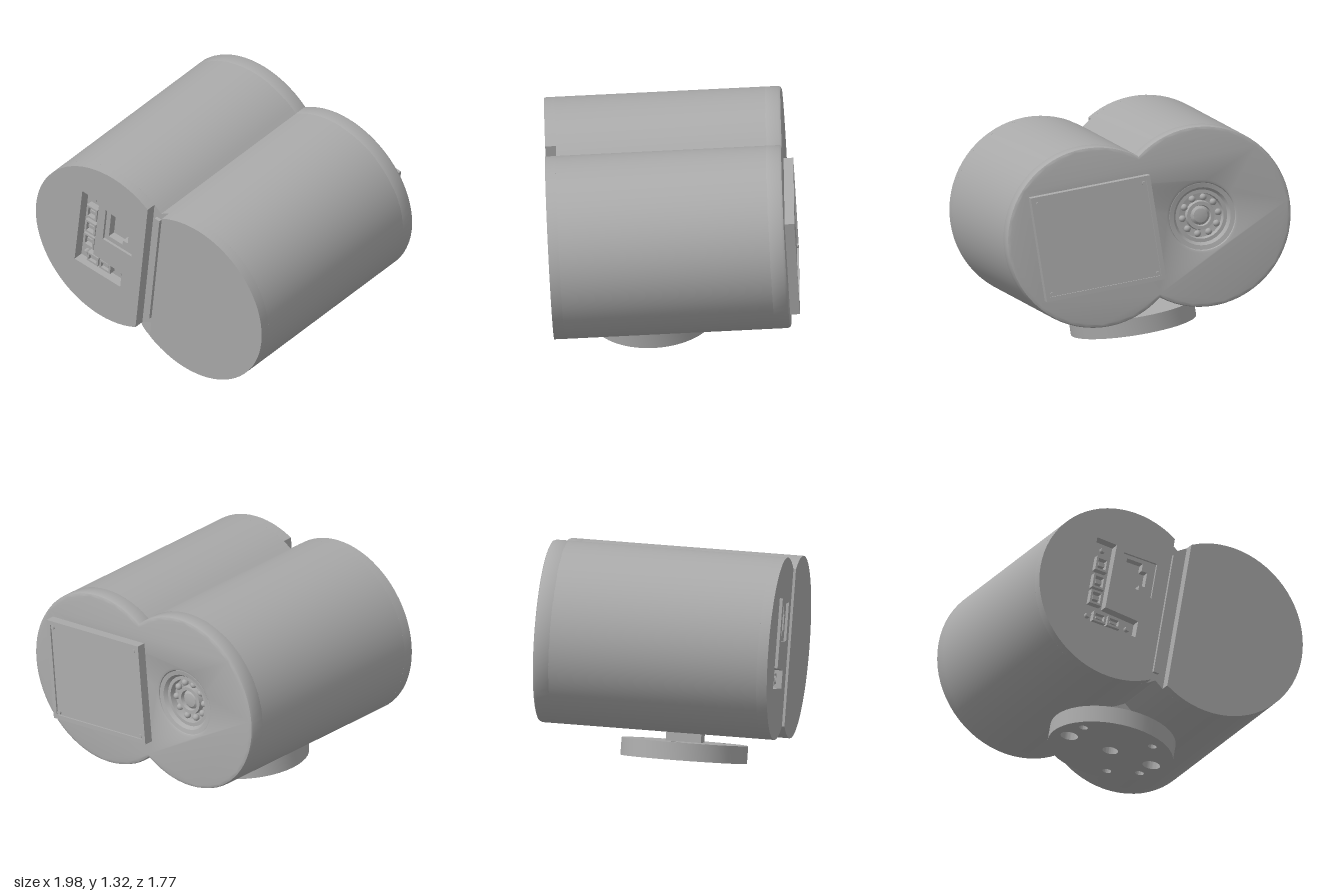
import * as THREE from 'three';
import { toCreasedNormals } from 'three/addons/utils/BufferGeometryUtils.js';

const grey = new THREE.MeshStandardMaterial({ color: 0xaaaaaa, side: THREE.DoubleSide });
grey.name = 'grey';

const R = 0.515;        // lobe radius
const C = 0.3125;       // lobe centre offset
const LEN = 1.335;      // body length
const STEP = 0.06;      // thickness of the front caps
const CHORD = 0.26;     // flat side of each front cap

function add(parent, name, geo, x = 0, y = 0, z = 0) {
  const mesh = new THREE.Mesh(geo, grey);
  mesh.name = name;
  mesh.position.set(x, y, z);
  parent.add(mesh);
  return mesh;
}

function extrude(shape, depth, bevel = 0) {
  const geo = new THREE.ExtrudeGeometry(shape, {
    depth: depth - 2 * bevel, curveSegments: 24, bevelEnabled: bevel > 0,
    bevelSize: bevel, bevelThickness: bevel, bevelOffset: -bevel, bevelSegments: 2,
  });
  geo.translate(0, 0, bevel);
  return toCreasedNormals(geo, 0.5);
}

const circleHole = (x, y, r) => new THREE.Path().absarc(x, y, r, 0, Math.PI * 2, true);

function polygon(points, Kind = THREE.Shape) {
  return new Kind(points.map(([x, y]) => new THREE.Vector2(x, y)));
}

function rect(x0, y0, x1, y1, Kind = THREE.Shape) {
  return polygon([[x0, y0], [x1, y0], [x1, y1], [x0, y1]], Kind);
}

// Outline of two merged cylinders
function twinOutline() {
  const a = Math.acos(C / R);
  const s = new THREE.Shape();
  s.absarc(C, 0, R, -Math.PI + a, Math.PI - a, false);
  s.absarc(-C, 0, R, a, Math.PI * 2 - a, false);
  s.closePath();
  return s;
}

// Disc with one side cut straight; side is -1 or 1
function capOutline(side) {
  const a = Math.acos(CHORD / R);
  const s = new THREE.Shape();
  if (side < 0) s.absarc(-C, 0, R, a, Math.PI * 2 - a, false);
  else s.absarc(C, 0, R, -Math.PI + a, Math.PI - a, false);
  s.closePath();
  return s;
}

// Small hollow socket
function socket(parent, name, x, y, w, h) {
  const s = rect(-w / 2, -h / 2, w / 2, h / 2);
  s.holes.push(rect(-w / 2 + 0.012, -h / 2 + 0.012, w / 2 - 0.012, h / 2 - 0.012, THREE.Path));
  add(parent, name, extrude(s, 0.04), x, y, -STEP);
  add(parent, name + 'Tongue', new THREE.BoxGeometry(w * 0.5, h * 0.25, 0.03), x, y, -STEP + 0.015);
}

function buildHousing(body) {
  add(body, 'housing', extrude(twinOutline(), LEN - 0.09 - STEP), 0, 0, -LEN + 0.09);

  // Back cover with the lens opening
  const back = twinOutline();
  back.holes.push(circleHole(-C, 0, 0.19));
  add(body, 'backCover', extrude(back, 0.11, 0.018), 0, 0, -LEN);

  // Front caps, separated by a shallow slot
  const portCap = capOutline(-1);
  portCap.holes.push(polygon([
    [-C - 0.205, 0.29], [-C - 0.21, -0.225], [-C + 0.125, -0.225],
    [-C + 0.125, -0.125], [-C - 0.085, -0.11], [-C - 0.08, 0.285],
  ], THREE.Path));
  portCap.holes.push(rect(-C - 0.03, 0.04, -C + 0.18, 0.257, THREE.Path));
  add(body, 'portCap', extrude(portCap, STEP), 0, 0, -STEP);
  add(body, 'plainCap', extrude(capOutline(1), STEP), 0, 0, -STEP);
  add(body, 'slotStrip', new THREE.BoxGeometry(0.035, 0.74, 0.02), -0.01, 0, -STEP + 0.01);
}

function buildPorts(body) {
  const ports = new THREE.Group();
  ports.name = 'ports';
  body.add(ports);
  for (const y of [0.15, 0.04, -0.06]) socket(ports, 'sidePort', -C - 0.14, y, 0.075, 0.085);
  for (const x of [-0.1, -0.01]) socket(ports, 'lowerPort', -C + x, -0.172, 0.08, 0.06);
  for (const [x, y] of [[-0.165, -0.172], [0.085, -0.172], [-0.14, 0.245]]) {
    const screw = add(ports, 'portScrew', new THREE.CylinderGeometry(0.016, 0.016, 0.03, 10), -C + x, y, -STEP + 0.015);
    screw.rotation.x = Math.PI / 2;
  }
  // Network jack with a stepped opening
  const jack = rect(-0.03, 0.04, 0.18, 0.257);
  jack.holes.push(polygon([
    [0.0, 0.07], [0.1, 0.07], [0.1, 0.1], [0.135, 0.1], [0.135, 0.19],
    [0.1, 0.19], [0.1, 0.235], [0.0, 0.235],
  ], THREE.Path));
  add(ports, 'networkJack', extrude(jack, 0.045), -C, 0, -STEP);
}

function buildLens(body) {
  const lens = new THREE.Group();
  lens.name = 'lens';
  lens.position.set(-C, 0, -LEN + 0.09);
  lens.rotation.x = -Math.PI / 2;
  body.add(lens);
  const profile = [[0, 0.05], [0.04, 0.043], [0.055, 0.03], [0.06, 0.05], [0.08, 0.05], [0.085, 0.02],
    [0.125, 0.025], [0.13, 0.06], [0.15, 0.06], [0.165, 0.08], [0.19, 0.085]];
  const geo = new THREE.LatheGeometry(profile.map(([r, y]) => new THREE.Vector2(r, y)), 32);
  add(lens, 'lensRings', toCreasedNormals(geo, 0.5));
  for (let i = 0; i < 10; i++) {
    const a = i * Math.PI / 5;
    add(lens, 'lamp', new THREE.SphereGeometry(0.02, 10, 8), Math.cos(a) * 0.105, 0.035, Math.sin(a) * 0.105);
  }
}

function buildScreen(body) {
  const screen = new THREE.Group();
  screen.name = 'backPanel';
  screen.position.set(C, 0, -LEN);
  body.add(screen);
  const frame = rect(-0.35, -0.3, 0.35, 0.3);
  frame.holes.push(rect(-0.325, -0.275, 0.325, 0.275, THREE.Path));
  add(screen, 'panelFrame', extrude(frame, 0.06), 0, 0, -0.055);
  add(screen, 'panelFace', new THREE.BoxGeometry(0.65, 0.55, 0.045), 0, 0, -0.0225);
  for (const x of [-0.31, 0.31]) for (const y of [-0.26, 0.26]) {
    const screw = add(screen, 'panelScrew', new THREE.CylinderGeometry(0.012, 0.012, 0.02, 10), x, y, -0.045);
    screw.rotation.x = Math.PI / 2;
  }
}

function buildStand(body) {
  const stand = new THREE.Group();
  stand.name = 'stand';
  stand.position.set(0, -0.62, -0.55);
  body.add(stand);
  // Round foot with bolt holes
  const foot = new THREE.Shape().absarc(0, 0, 0.357, 0, Math.PI * 2, false);
  foot.holes.push(circleHole(0, 0, 0.045), circleHole(0.26, 0, 0.05), circleHole(-0.26, 0, 0.05));
  for (const [deg, r] of [[148, 0.29], [-29, 0.29], [-68, 0.27], [54, 0.27]]) {
    const a = THREE.MathUtils.degToRad(deg);
    foot.holes.push(circleHole(Math.cos(a) * r, -Math.sin(a) * r, 0.025));
  }
  const mesh = add(stand, 'foot', extrude(foot, 0.1), 0, -0.05, 0);
  mesh.rotation.x = -Math.PI / 2;
  add(stand, 'post', new THREE.BoxGeometry(0.14, 0.25, 0.2), 0, 0.165, 0);
}

export function createModel() {
  const model = new THREE.Group();
  model.name = 'twinCylinderCamera';
  const body = new THREE.Group();
  body.name = 'body';
  model.add(body);
  buildHousing(body);
  buildPorts(body);
  buildLens(body);
  buildScreen(body);
  buildStand(body);

  // Tilt the whole device: w runs to the front, u across, v up
  const w = new THREE.Vector3(-0.309, -0.053, 0.95).normalize();
  const v = new THREE.Vector3().crossVectors(w, new THREE.Vector3(0.944, -0.144, 0.296)).normalize();
  const u = new THREE.Vector3().crossVectors(v, w);
  body.quaternion.setFromRotationMatrix(new THREE.Matrix4().makeBasis(u, v, w));
  body.position.set(-0.205, 0.688, 0.645);
  return model;
}
